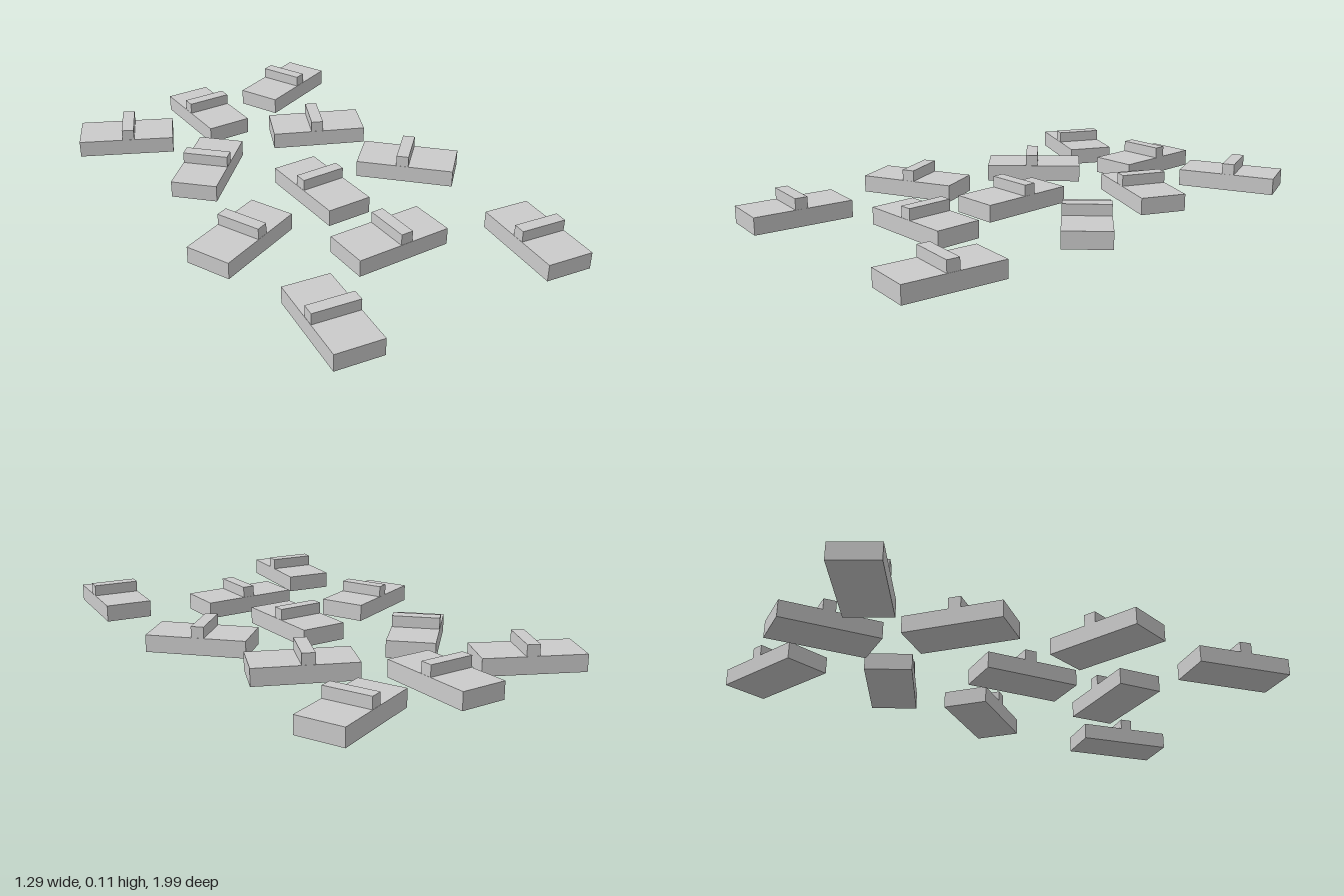
import * as THREE from 'three';

const LENGTH = 0.39, WIDTH = 0.185, SLAB = 0.067, TOP = 0.111, RIDGE = 0.049;

// x, z and heading in degrees (from +x towards +z) of each block
const PLACES = [
  [-0.431, -0.767, 26.3],
  [-0.031, -0.777, -90],
  [0.403, -0.839, -23.4],
  [-0.269, -0.336, 135],
  [0.296, -0.393, 204],
  [-0.417, 0.189, -23.4],
  [0.021, 0.061, -90],
  [0.438, 0.075, 226],
  [0.028, 0.497, 0.4],
  [-0.412, 0.773, 97.5],
  [0.481, 0.785, 97.5],
];

export function createModel() {
  const model = new THREE.Group();
  model.name = 'scatteredBlocks';
  const material = new THREE.MeshStandardMaterial({ color: 0xcccccc, flatShading: true });

  const slabGeometry = new THREE.BoxGeometry(LENGTH, SLAB, WIDTH).translate(0, SLAB / 2, 0);
  // Crosswise ridge, slightly off the middle of the slab
  const ridgeGeometry = new THREE.BoxGeometry(RIDGE, TOP - SLAB, WIDTH - 0.002)
    .translate(0.009, (TOP + SLAB) / 2, 0);

  PLACES.forEach(([x, z, heading], i) => {
    const block = new THREE.Group();
    block.name = `block${i + 1}`;
    const slab = new THREE.Mesh(slabGeometry, material);
    slab.name = 'slab';
    const ridge = new THREE.Mesh(ridgeGeometry, material);
    ridge.name = 'ridge';
    block.add(slab, ridge);
    block.position.set(x, 0, z);
    block.rotation.y = -THREE.MathUtils.degToRad(heading);
    model.add(block);
  });
  return model;
}
